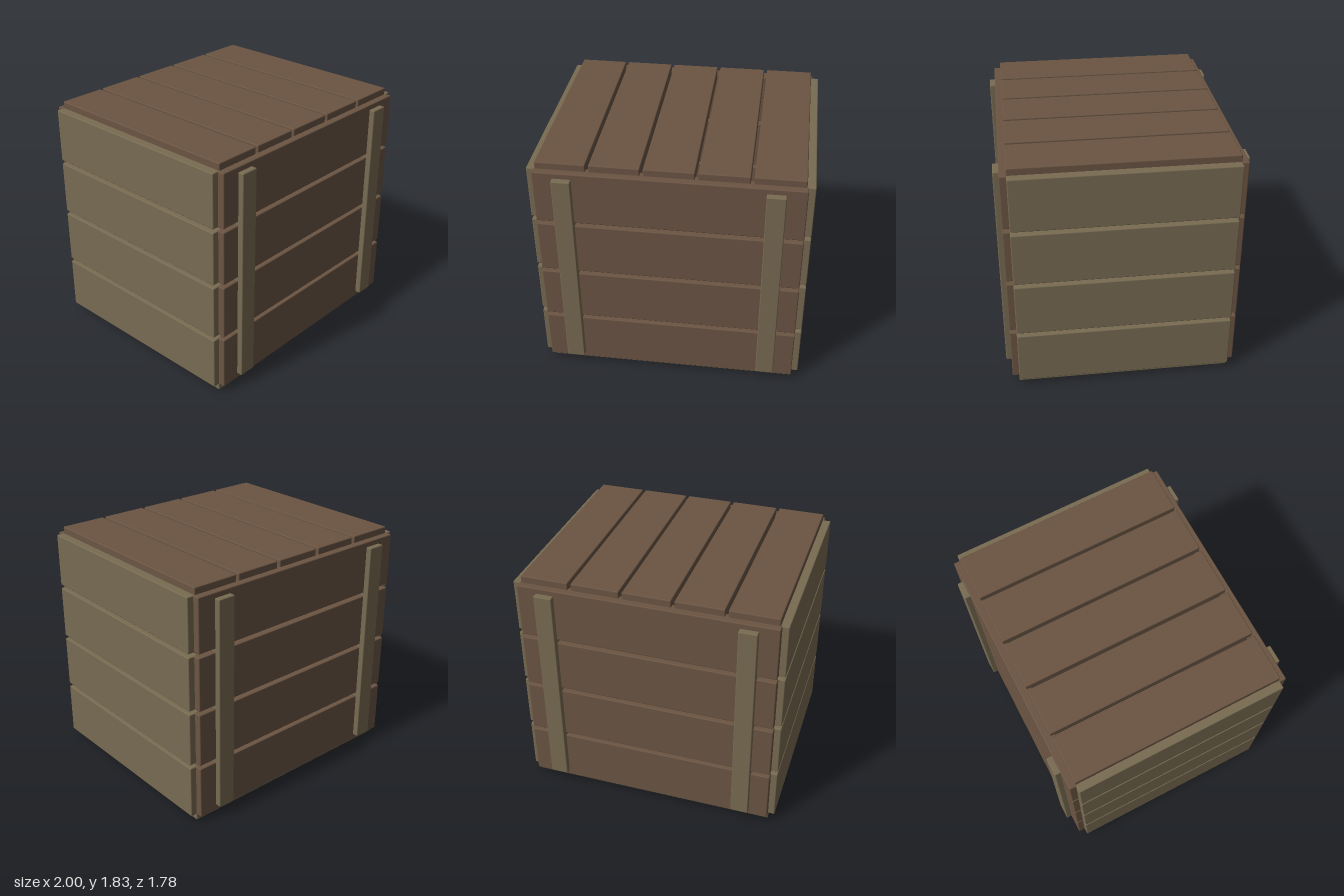
import * as THREE from 'three';
import { RoundedBoxGeometry } from 'three/addons/geometries/RoundedBoxGeometry.js';

export function createModel() {
  const crate = new THREE.Group();
  crate.name = 'crate';
  const brown = new THREE.MeshStandardMaterial({ color: 0x6b5543 });
  const khaki = new THREE.MeshStandardMaterial({ color: 0x786b52 });

  // A board with slightly eased edges, given by its centre and size
  function board(name, material, [x, y, z], [w, h, d]) {
    const mesh = new THREE.Mesh(new RoundedBoxGeometry(w, h, d, 2, 0.008), material);
    mesh.name = name;
    mesh.position.set(x, y, z);
    crate.add(mesh);
  }

  // Floor panel
  board('floor', khaki, [0, 0.045, 0], [1.9, 0.09, 1.6]);

  // Four rows of horizontal planks on all four walls
  for (let row = 0; row < 4; row++) {
    const y = 0.26 + row * 0.4375;
    for (const s of [1, -1]) {
      board(s > 0 ? 'frontPlank' : 'backPlank', brown, [0, y, s * 0.805], [1.9, 0.41, 0.09]);
      board(s > 0 ? 'leftPlank' : 'rightPlank', khaki, [s * 0.955, y, 0], [0.09, 0.41, 1.6]);
    }
  }

  // Five lid planks running front to back
  for (let i = -2; i <= 2; i++) {
    board('lidPlank', brown, [i * 0.38, 1.785, 0], [0.357, 0.09, 1.6]);
  }

  // Vertical battens near the corners, front and back
  for (const sx of [1, -1]) {
    for (const sz of [1, -1]) {
      board(sz > 0 ? 'frontBatten' : 'backBatten', khaki, [sx * 0.74, 0.917, sz * 0.85], [0.136, 1.64, 0.085]);
    }
  }
  return crate;
}
